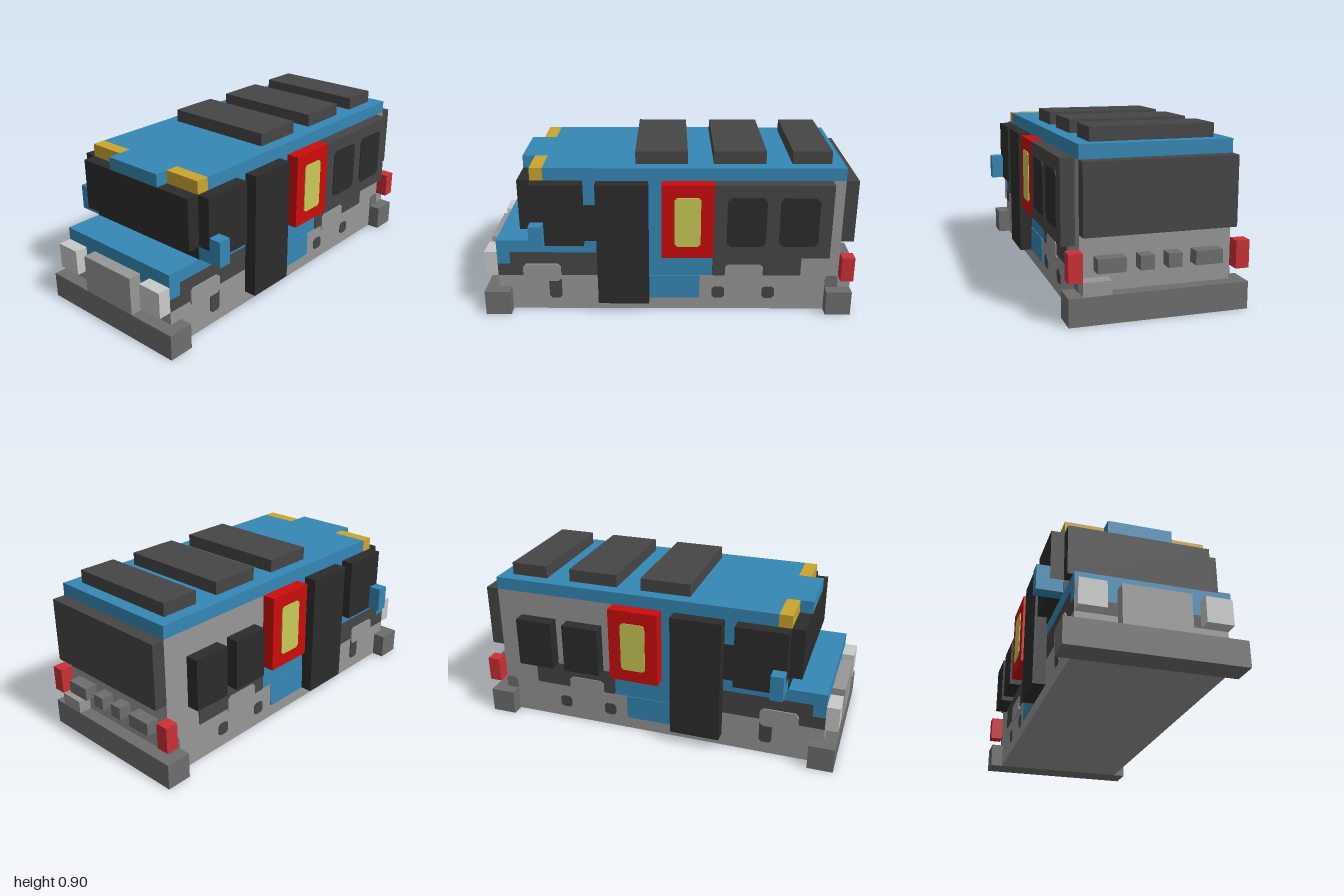
import * as THREE from 'three';

const U = 2 / 29; // one block
const T = 0.06;   // painted plate thickness, in blocks

const mat = (name, color) => {
  const m = new THREE.MeshStandardMaterial({ color });
  m.name = name;
  return m;
};

export function createModel() {
  const g = new THREE.Group();
  g.name = 'van';
  const blue = mat('blue', 0x3588b5), black = mat('black', 0x2c2c2c);
  const dark = mat('darkGrey', 0x464646), grey = mat('grey', 0x6e6e6e);
  const light = mat('lightGrey', 0x979797), silver = mat('silver', 0xc8cac9);
  const amber = mat('amber', 0xc9a62e), red = mat('red', 0xcc0c0c);
  const tail = mat('tailRed', 0xcb3035), lime = mat('paleYellow', 0xc9ca58);

  // Box from its limits in blocks
  const box = (name, m, x0, x1, y0, y1, z0, z1) => {
    const mesh = new THREE.Mesh(
      new THREE.BoxGeometry((x1 - x0) * U, (y1 - y0) * U, (z1 - z0) * U), m);
    mesh.position.set((x0 + x1) / 2 * U, (y0 + y1) / 2 * U, (z0 + z1) / 2 * U);
    mesh.name = name;
    g.add(mesh);
  };
  // Same box on both sides
  const pair = (name, m, x0, x1, ...r) => {
    box(name + 'Left', m, x0, x1, ...r);
    box(name + 'Right', m, -x1, -x0, ...r);
  };
  // Thin plate with cut corners lying on a side wall at distance x
  const plate = (name, m, side, x, y0, y1, z0, z1, c = 0, layer = 1) => {
    const s = new THREE.Shape([
      [-z1 + c, y0], [-z0 - c, y0], [-z0, y0 + c], [-z0, y1 - c],
      [-z0 - c, y1], [-z1 + c, y1], [-z1, y1 - c], [-z1, y0 + c],
    ].map(([a, b]) => new THREE.Vector2(a * U, b * U)));
    const geo = new THREE.ExtrudeGeometry(s, { depth: T * layer * U, bevelEnabled: false });
    geo.rotateY(Math.PI / 2);
    geo.translate((side > 0 ? x : -x - T * layer) * U, 0, 0);
    const mesh = new THREE.Mesh(geo, m);
    mesh.name = name;
    g.add(mesh);
  };

  // Chassis and bumpers
  box('chassis', light, -5.5, 5.5, 0, 2, -12.5, 12.5);
  box('lowerBody', light, -5.5, 5.5, 2, 3, -13.5, 13.5);
  box('frontBumper', grey, -6.5, 6.5, 0, 2, 12.5, 14.5);
  box('rearBumper', grey, -6.5, 6.5, 0, 2, -14.5, -12.5);

  // Body
  box('rearBody', light, -5.5, 5.5, 3, 11, -13.5, -3.5);
  box('middleBody', blue, -5.5, 5.5, 3, 6, -3.5, 5.5);
  box('cabin', blue, -5.5, 5.5, 6, 11, -3.5, 10.5);
  box('noseLower', dark, -5.5, 5.5, 3, 4, 5.5, 13.5);
  box('noseUpper', dark, -5.5, 5.5, 4, 5, 5.5, 12.5);
  box('hoodLip', blue, -5.5, 5.5, 4, 5, 12.5, 13.5);
  box('hood', blue, -5.5, 5.5, 5, 6, 5.5, 13.5);

  // Roof, marker lights and roof units
  box('roof', blue, -5.5, 5.5, 11, 12, -13.5, 9.5);
  box('roofFront', blue, -2.5, 2.5, 11, 12, 9.5, 11.5);
  pair('markerLight', amber, 2.5, 5.5, 11, 12, 9.5, 10.5);
  for (const [z0, z1] of [[-1.5, 2.5], [-7.5, -3.5], [-12.5, -9.5]])
    box('roofUnit', dark, -4.5, 4.5, 12, 13, z0, z1);

  // Front
  box('windshield', black, -5.5, 5.5, 7, 11, 10.5, 11.5);
  box('windshieldBase', black, -5.5, 5.5, 6, 7, 10.5, 10.5 + T);
  box('grille', light, -2.5, 2.5, 2, 5, 13.5, 14.5);
  pair('headlight', silver, 3.5, 5.5, 3, 5, 13.5, 14.5);

  // Cab windows, mirrors and doors
  pair('cabWindowRear', black, 5.5, 6.5, 6, 11, 6.5, 9.5);
  pair('cabWindowFront', black, 5.5, 6.5, 7, 11, 9.5, 10.5);
  pair('mirrorArm', blue, 5.5, 6.5, 6, 7, 9.5, 10.5);
  pair('mirror', blue, 6.5, 7.5, 6, 8, 9.5, 10.5);
  pair('door', black, 5.5, 6.5, 1, 11, 1.5, 5.5);
  pair('redFrame', red, 5.5, 6.5, 5, 11, -3.5, 0.5);

  // Painted side details
  for (const s of [1, -1]) {
    plate('cabPillarGlass', black, s, 5.5, 6, 9, 5.5, 6.5);
    plate('framePane', lime, s, 6.5, 6, 10, -2.5, -0.5, 0.2);
    plate('sideSkirt', blue, s, 5.5, 1, 3, -2.5, 1.5, 0.1);
    plate('rearBand', dark, s, 5.5, 3, 5, -10.5, -3.5, 0.1);
    plate('frontArch', light, s, 5.5, 2.5, 4, 8.5, 11.5, 0.25, 2);
    plate('rearArch', light, s, 5.5, 2.5, 4, -7.5, -4.5, 0.25, 2);
    plate('fuelFlap', dark, s, 5.5, 1, 3, 8.5, 9.5, 0.2);
    plate('ventFront', dark, s, 5.5, 1, 2, -4.5, -3.5, 0.2);
    plate('ventRear', dark, s, 5.5, 1, 2, -8.5, -7.5, 0.2);
    plate('bumperTab', grey, s, 5.5, 1.8, 3, -13.5, -12.5, 0.2);
  }

  // Left window panel, separate right windows
  box('leftPanel', dark, 5.5, 6.5, 5, 11, -12.5, -3.5);
  for (const z of [-7.5, -11.5]) {
    plate('leftPane', black, 1, 6.5, 6, 10, z, z + 3, 0.3);
    box('rightWindow', black, -6.5, -5.5, 5, 9, z, z + 3);
  }

  // Rear
  box('rearWindow', dark, -5.5, 5.5, 6, 11, -14.5, -13.5);
  pair('tailLight', tail, 5.5, 6.5, 3, 5, -14.5, -13.5);
  pair('rearVentWide', grey, 2.5, 4.5, 3.5, 4.5, -14.5, -13.5);
  pair('rearVentSmall', grey, 0.5, 1.5, 3.5, 4.5, -14.5, -13.5);
  box('rearStep', light, 3.5, 5.5, 2, 3, -14.5, -13.5);
  return g;
}
